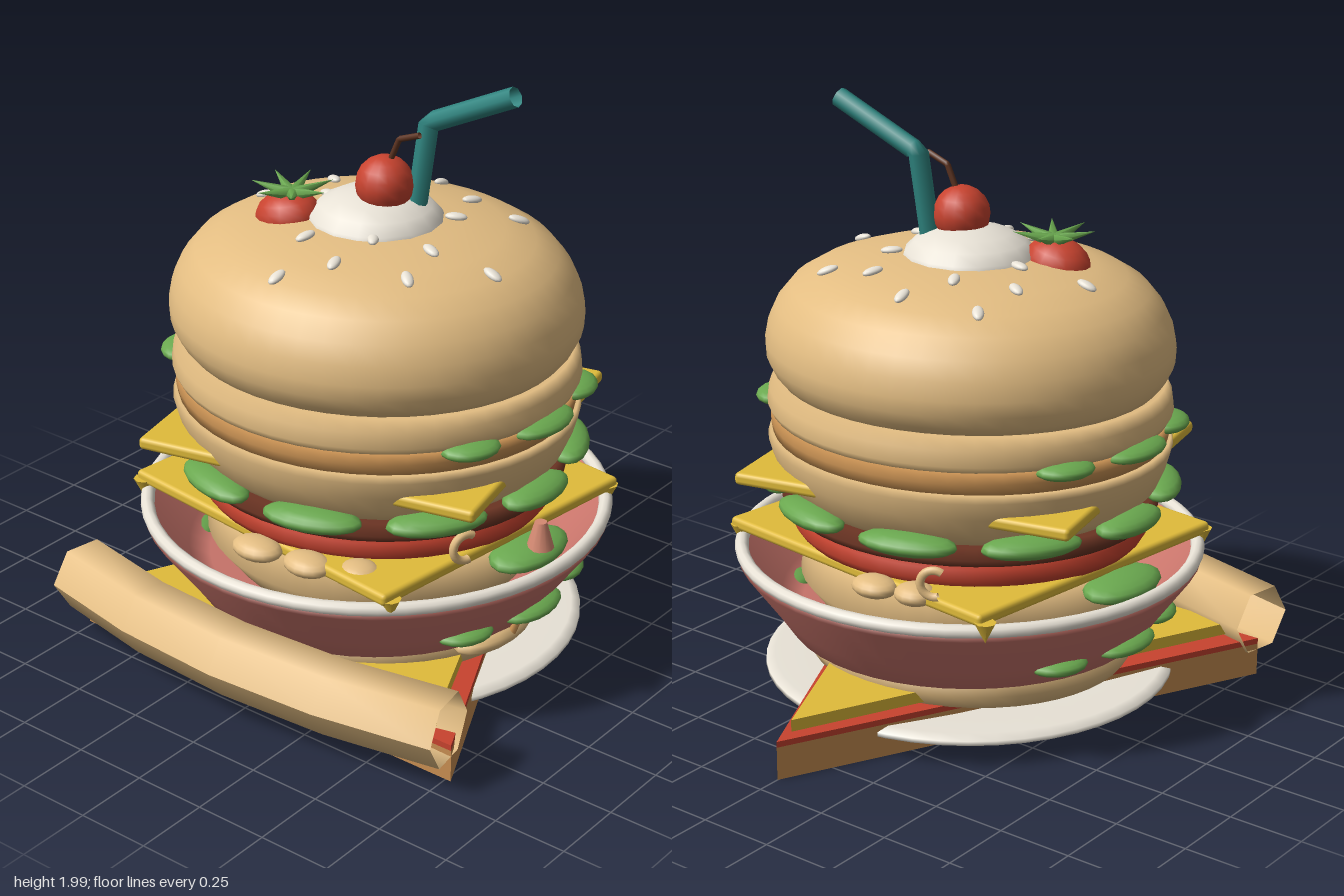
import * as THREE from 'three';
import { RoundedBoxGeometry } from 'three/addons/geometries/RoundedBoxGeometry.js';

const CZ = 0.063; // centre of the stack along z
const SQ = 0.942; // buns and slices are slightly shorter in z
const C = {
  bun: 0xe3bd82, crust: 0xc98f52, band: 0xcf9656, bowl: 0xc9756b, cream: 0xe8e2d6, cheese: 0xe0bb3a,
  lettuce: 0x6aa84f, red: 0xc8432f, patty: 0x6b3423, straw: 0x2f8580, stem: 0x5c3320, prawn: 0xd68a72,
};

export function createModel() {
  const root = new THREE.Group();

  function add(name, geo, color, pos = [0, 0, 0], doubleSide = false) {
    const mat = new THREE.MeshStandardMaterial({ color });
    if (doubleSide) mat.side = THREE.DoubleSide;
    const m = new THREE.Mesh(geo, mat);
    m.name = name;
    m.position.set(...pos);
    root.add(m);
    return m;
  }
  function lathe(name, pts, color, sz = SQ) {
    const curve = pts.map(p => new THREE.Vector2(p[0], p[1]));
    const m = add(name, new THREE.LatheGeometry(curve, 48), color, [0, 0, CZ]);
    m.scale.z = sz;
    return m;
  }
  function blob(name, color, pos, size, yaw = 0) {
    const m = add(name, new THREE.SphereGeometry(1, 16, 10), color, pos);
    m.scale.set(...size);
    m.rotation.y = yaw;
    return m;
  }
  function tube(name, color, pts, r, sides = 8) {
    const path = new THREE.CurvePath();
    const v = pts.map(p => new THREE.Vector3(...p));
    for (let i = 1; i < v.length; i++) path.add(new THREE.LineCurve3(v[i - 1], v[i]));
    return add(name, new THREE.TubeGeometry(path, 24, r, sides), color, [0, 0, 0], true);
  }

  // Triangular sandwich under the plate
  function wedge(name, color, y, h, front, back, half) {
    const s = new THREE.Shape([[-half, -front], [half, -front], [0, -back]].map(p => new THREE.Vector2(...p)));
    const g = new THREE.ExtrudeGeometry(s, { depth: h, bevelEnabled: false });
    g.rotateX(-Math.PI / 2);
    add(name, g, color, [0, y, 0]);
  }
  wedge('sandwichBread', C.crust, 0, 0.112, 0.67, -0.92, 0.77);
  wedge('sandwichTomato', C.red, 0.112, 0.02, 0.67, -0.92, 0.77);
  wedge('sandwichCheese', C.cheese, 0.14, 0.04, 0.63, -0.85, 0.68);

  // Plate and bottom bun
  lathe('plate', [[0, 0.003], [0.33, 0.003], [0.36, 0.025], [0.65, 0.055], [0.69, 0.075], [0.69, 0.09],
    [0.66, 0.105], [0.5, 0.095], [0, 0.095]], C.cream, 1);
  lathe('bottomBun', [[0, 0.095], [0.48, 0.1], [0.55, 0.13], [0.58, 0.18], [0.57, 0.24], [0.5, 0.28], [0, 0.29]], C.bun);
  blob('sideNugget', C.bun, [0.54, 0.215, 0.14], [0.09, 0.045, 0.19]);
  tube('nuggetStick', C.band, [[0.61, 0.21, 0.14], [0.63, 0.27, 0.13]], 0.014);

  // Bowl with a rolled rim
  lathe('bowl', [[0, 0.225], [0.55, 0.225], [0.61, 0.235], [0.66, 0.31], [0.775, 0.47], [0.78, 0.5], [0.75, 0.5],
    [0.63, 0.34], [0.56, 0.3], [0, 0.3]], C.bowl, 1);
  const rim = add('bowlRim', new THREE.TorusGeometry(0.762, 0.023, 10, 56), C.cream, [0, 0.502, CZ]);
  rim.rotation.x = Math.PI / 2;

  // Rolled flatbread: open hexagonal tube, bent backwards at the ends
  const roll = new THREE.CylinderGeometry(0.122, 0.122, 1.56, 6, 4, true);
  roll.rotateZ(Math.PI / 2);
  const p = roll.attributes.position;
  for (let i = 0; i < p.count; i++) {
    const t = p.getX(i) / 0.78, z = p.getZ(i);
    p.setXYZ(i, p.getX(i) * 0.99 + t * z * 0.17, p.getY(i) + 0.212 - 0.015 * t * t, z + 0.8 - 0.115 * t * t);
  }
  roll.computeVertexNormals();
  add('rolledBread', roll, C.bun, [0, 0, 0], true);

  // Stacked layers
  lathe('innerBun', [[0, 0.3], [0.5, 0.3], [0.58, 0.4], [0.56, 0.53], [0, 0.54]], C.bun);
  lathe('tomato', [[0, 0.565], [0.59, 0.565], [0.605, 0.59], [0.605, 0.63], [0.58, 0.66], [0, 0.66]], C.red);
  lathe('pattyDark', [[0, 0.635], [0.58, 0.635], [0.625, 0.65], [0.64, 0.675], [0.62, 0.71], [0, 0.71]], C.patty);
  lathe('lowerBun', [[0, 0.69], [0.58, 0.7], [0.635, 0.75], [0.665, 0.82], [0.682, 0.88], [0.675, 0.905], [0, 0.905]], C.bun);
  lathe('pattyLight', [[0, 0.9], [0.665, 0.9], [0.672, 0.94], [0.672, 0.98], [0, 0.98]], C.band);
  lathe('middleBun', [[0, 0.975], [0.67, 0.975], [0.682, 1.0], [0.675, 1.05], [0.655, 1.09], [0, 1.095]], C.bun);
  const dome = [[0, 1.08], [0.63, 1.08], [0.66, 1.115], [0.682, 1.16], [0.685, 1.21], [0.673, 1.27], [0.645, 1.33],
    [0.595, 1.39], [0.52, 1.435], [0.42, 1.468], [0.28, 1.492], [0.13, 1.503], [0, 1.505]];
  lathe('topBun', dome, C.bun);

  // Cheese slices with drooping corners on the lower one
  for (const [y, yaw] of [[0.81, 0.227], [0.55, -0.12]]) {
    const slice = add('cheeseSlice', new RoundedBoxGeometry(1.17, 0.042, 1.1, 2, 0.015), C.cheese, [0, y, CZ]);
    slice.rotation.y = yaw;
  }
  for (const [x, z] of [[-0.62, 0.53], [0.51, 0.64], [0.62, -0.39], [-0.52, -0.53]]) {
    const drip = add('cheeseDrip', new THREE.ConeGeometry(0.035, 0.07, 8), C.cheese, [x, 0.51, z]);
    drip.rotation.x = Math.PI;
  }

  // Lettuce: one full ring, and three leaves per side on two other levels
  function leaf(a, y, r, w, h) {
    blob('lettuceLeaf', C.lettuce, [r * Math.sin(a), y, CZ + r * SQ * Math.cos(a)], [w, h, 0.075], a);
  }
  for (let i = 0; i < 10; i++) leaf((i + 0.5) * Math.PI / 5, 0.72, 0.64, i % 5 === 2 ? 0.15 : 0.165, 0.038);
  for (const side of [1, -1]) {
    for (const k of [-1, 0, 1]) {
      const a = side * Math.PI / 2 + k * 0.47, w = k ? 0.1 : 0.135;
      leaf(a, 0.97, 0.66, w, 0.03);
      leaf(a, 0.3, 0.635, w, 0.03);
    }
    blob('bowlGreens', C.lettuce, [side * 0.62, 0.5, CZ], [0.1, 0.04, 0.17]);
  }

  // Snacks tucked between bowl and stack
  for (const [x, z, w] of [[-0.01, 0.66, 0.09], [0.18, 0.64, 0.085], [0.34, 0.58, 0.07],
    [-0.08, -0.53, 0.08], [-0.22, -0.5, 0.07]]) {
    blob('nugget', C.bun, [x, 0.55, z], [w, 0.035, 0.065]);
  }
  for (const [x, z, yaw] of [[0.58, 0.35, 1.2], [-0.32, -0.53, 3.6]]) {
    const ring = add('curledSnack', new THREE.TorusGeometry(0.045, 0.014, 8, 16, 4), C.bun, [x, 0.62, z], true);
    ring.rotation.set(0, yaw, 1);
  }
  add('pinkCone', new THREE.CylinderGeometry(0.02, 0.045, 0.09, 12), C.prawn, [0.67, 0.575, 0.07]);

  // Sesame seeds following the dome
  const seeds = [[-0.32, -0.31], [-0.06, -0.36], [-0.14, -0.2], [-0.33, -0.13], [0.14, -0.26], [0.32, -0.27],
    [0.21, -0.08], [-0.45, 0.08], [-0.23, 0.02], [0.5, 0.12], [0.3, 0.17], [0.12, 0.23], [-0.07, 0.33],
    [0.11, 0.41], [-0.01, 0.54], [0.34, 0.34]];
  for (const [x, z] of seeds) {
    const r = Math.hypot(x, (z - CZ) / SQ);
    let i = 7;
    while (dome[i + 1][0] > r) i++;
    const [r0, y0] = dome[i], [r1, y1] = dome[i + 1];
    const y = y0 + (y1 - y0) * (r - r0) / (r1 - r0);
    const seed = blob('sesameSeed', C.cream, [x, y + 0.006, z], [0.036, 0.013, 0.019]);
    seed.rotation.set(0, Math.atan2(-(z - CZ), x), -Math.atan2(y1 - y0, r0 - r1), 'YXZ');
  }

  // Cream, cherry and stem
  blob('creamDollop', C.cream, [0, 1.47, CZ], [0.227, 0.12, 0.222]);
  blob('cherry', C.red, [0.04, 1.618, 0.07], [0.094, 0.094, 0.094]);
  tube('cherryStem', C.stem, [[0.055, 1.69, 0.065], [0.09, 1.775, 0.06], [0.17, 1.805, 0.06]], 0.01);

  // Bent drinking straw
  tube('straw', C.straw, [[0.12, 1.53, 0.01], [0.147, 1.82, -0.017], [0.455, 1.965, -0.045]], 0.033, 8);

  // Strawberry with a star of leaves
  blob('strawberry', C.red, [-0.252, 1.475, 0.195], [0.115, 0.085, 0.1]).rotation.z = 0.2;
  for (let i = 0; i < 7; i++) {
    const a = i * Math.PI * 2 / 7;
    const g = new THREE.ConeGeometry(0.024, 0.14, 6);
    g.translate(0, 0.07, 0);
    g.rotateZ(-1.3);
    const l = add('strawberryLeaf', g, C.lettuce, [-0.24, 1.55, 0.19]);
    l.rotation.y = a;
  }
  return root;
}
